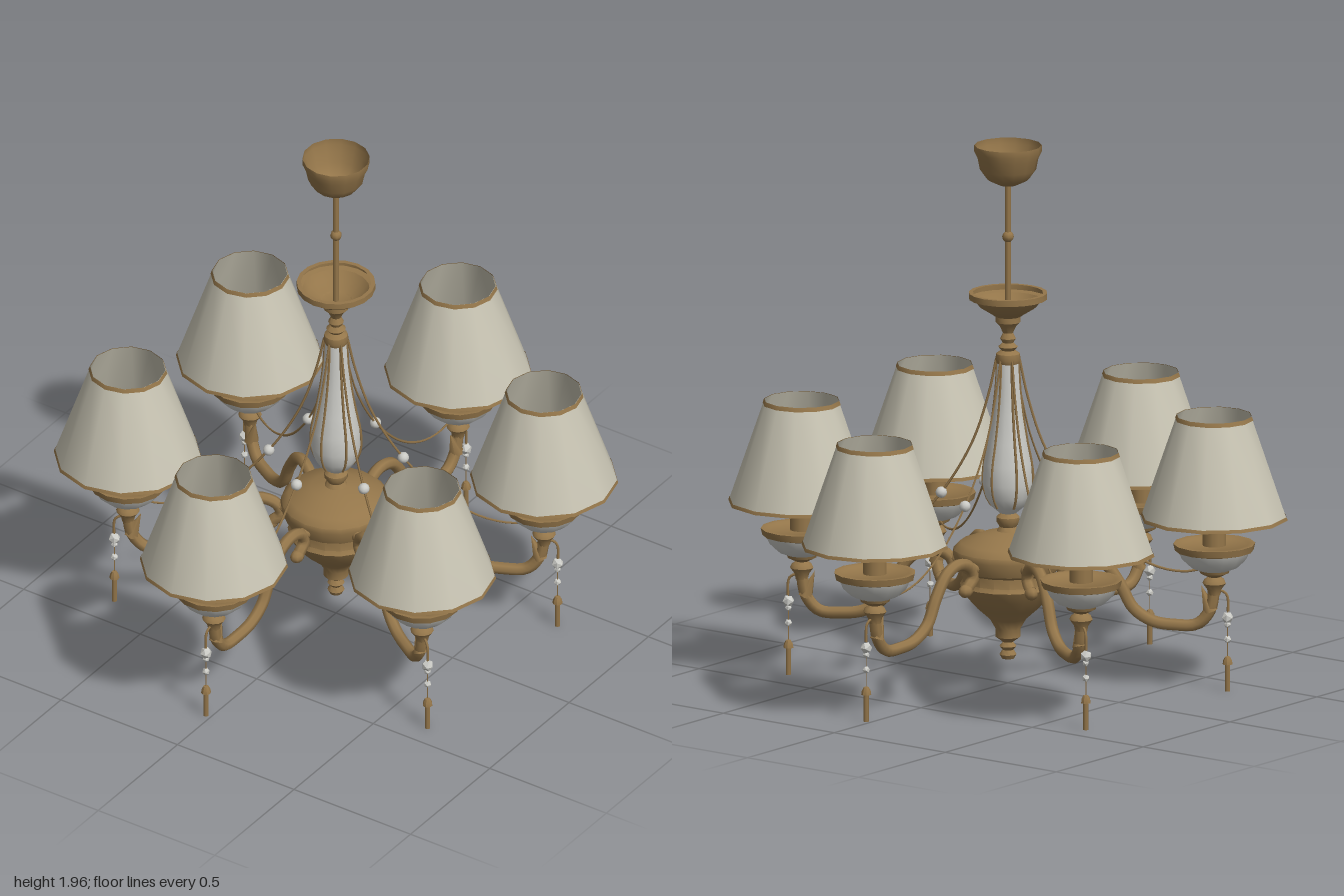
import * as THREE from 'three';
import { toCreasedNormals } from 'three/addons/utils/BufferGeometryUtils.js';

const material = (name, color) => {
  const m = new THREE.MeshStandardMaterial({ color, side: THREE.DoubleSide });
  m.name = name;
  return m;
};
const bronze = material('bronze', 0x94764a);
const fabric = material('shade fabric', 0xc8c4b3);
const porcelain = material('porcelain', 0xcbcbc6);

function add(group, name, geometry, mat, x = 0, y = 0, z = 0) {
  const mesh = new THREE.Mesh(geometry, mat);
  mesh.name = name;
  mesh.position.set(x, y, z);
  group.add(mesh);
  return mesh;
}

// Turned part from [radius, height] pairs, bottom to top
const turned = (profile, sides = 16) =>
  toCreasedNormals(new THREE.LatheGeometry(profile.map(([r, y]) => new THREE.Vector2(r, y)), sides), 0.65);

// Round bar along a curve in the x/y plane
function bar(points, radius, steps, sides) {
  const curve = new THREE.CatmullRomCurve3(points.map(([x, y]) => new THREE.Vector3(x, y, 0)));
  return new THREE.TubeGeometry(curve, steps, radius, sides);
}

const columnProfile = [[0.03, 0.62], [0.06, 0.645], [0.08, 0.68], [0.09, 0.73], [0.086, 0.8],
  [0.07, 0.88], [0.054, 0.98], [0.043, 1.08], [0.038, 1.18]];

function buildCentre(group) {
  add(group, 'lowerBody', turned([[0, 0.085], [0.022, 0.09], [0.03, 0.105], [0.02, 0.122], [0.03, 0.135],
    [0.018, 0.15], [0.045, 0.17], [0.045, 0.2], [0.065, 0.235], [0.11, 0.275], [0.15, 0.32], [0.172, 0.36],
    [0.162, 0.375], [0.162, 0.41], [0.18, 0.42], [0.198, 0.47], [0.195, 0.49], [0.17, 0.515], [0.09, 0.545],
    [0.04, 0.555], [0.03, 0.57], [0.042, 0.59], [0.042, 0.605], [0.025, 0.62], [0.04, 0.632]], 18), bronze);
  add(group, 'column', turned(columnProfile, 14), porcelain);
  // Raised ribs along the column
  for (let i = 0; i < 6; i++) {
    const rib = add(group, 'columnRib', bar(columnProfile.slice(1), 0.005, 18, 4), bronze);
    rib.rotation.y = (i + 0.5) * Math.PI / 3 - 0.03;
  }
  add(group, 'columnCap', turned([[0.04, 1.165], [0.045, 1.18], [0.042, 1.2], [0.025, 1.212], [0.035, 1.225],
    [0.02, 1.24], [0.028, 1.255], [0.018, 1.275], [0.03, 1.3], [0.045, 1.315], [0.045, 1.335], [0.06, 1.345]], 14), bronze);
  add(group, 'upperDish', turned([[0, 1.34], [0.055, 1.342], [0.1, 1.37], [0.12, 1.395], [0.14, 1.4], [0.14, 1.422],
    [0.125, 1.422]], 18), bronze);
  add(group, 'hangingRod', new THREE.CylinderGeometry(0.011, 0.011, 0.48, 8), bronze, 0, 1.585, 0);
  add(group, 'rodBead', new THREE.SphereGeometry(0.021, 8, 6), bronze, 0, 1.625, 0);
  add(group, 'ceilingCanopy', turned([[0, 1.812], [0.03, 1.813], [0.075, 1.835], [0.1, 1.87], [0.108, 1.91],
    [0.12, 1.935], [0.12, 1.958]], 14), bronze);
}

const reach = 0.742;

function buildLamp(lamp) {
  add(lamp, 'cupStem', turned([[0.022, 0.35], [0.026, 0.37], [0.042, 0.392], [0.036, 0.405], [0.022, 0.415],
    [0.052, 0.43], [0.058, 0.445]], 12), bronze);
  add(lamp, 'cupBowl', turned([[0.05, 0.438], [0.085, 0.452], [0.115, 0.48], [0.128, 0.51]], 14), porcelain);
  add(lamp, 'cupRim', turned([[0.126, 0.508], [0.14, 0.512], [0.146, 0.537], [0.125, 0.537], [0.115, 0.53], [0, 0.53]], 14), bronze);
  add(lamp, 'candle', new THREE.CylinderGeometry(0.042, 0.042, 0.2, 12), bronze, 0, 0.63, 0);
  const bulb = add(lamp, 'bulb', new THREE.SphereGeometry(0.045, 12, 8), porcelain, 0, 0.78, 0);
  bulb.scale.y = 1.5;

  // Conical shade with a thin band at each edge
  const radiusAt = y => 0.262 - (y - 0.63) * 0.345;
  const cone = (y0, y1, grow) => turned([[radiusAt(y0) + grow, y0], [radiusAt(y1) + grow, y1]], 12);
  add(lamp, 'shade', cone(0.63, 1.002, 0), fabric);
  for (const [y0, y1] of [[0.629, 0.641], [0.988, 1.003]]) {
    add(lamp, 'shadeBand', cone(y0, y1, 0.002), bronze);
  }
}

function buildDrop(drop) {
  add(drop, 'hook', bar([[-0.04, 0.37], [-0.01, 0.36], [0, 0.345], [0.002, 0.29]], 0.005, 8, 5), bronze);
  add(drop, 'thread', new THREE.CylinderGeometry(0.002, 0.002, 0.18, 4), bronze, 0, 0.2, 0);
  for (const [y, r] of [[0.268, 0.022], [0.243, 0.013], [0.188, 0.014]]) {
    add(drop, 'crystal', new THREE.IcosahedronGeometry(r, 0), porcelain, 0, y, 0);
  }
  add(drop, 'bell', turned([[0.018, 0.098], [0.016, 0.112], [0.009, 0.125], [0, 0.128]], 8), bronze);
  add(drop, 'tassel', new THREE.CylinderGeometry(0.01, 0.01, 0.104, 6, 1, true), bronze, 0, 0.052, 0);
}

function buildArm(arm) {
  // S-shaped arm ending in a curl beside the body
  add(arm, 'scrollArm', bar([[0.742, 0.37], [0.725, 0.29], [0.68, 0.24], [0.6, 0.219 + 0.015], [0.52, 0.245], [0.45, 0.29],
    [0.4, 0.38], [0.34, 0.455], [0.27, 0.478], [0.21, 0.455], [0.195, 0.415], [0.225, 0.385]], 0.022, 40, 7), bronze);
  const curl = add(arm, 'curlLeaf', new THREE.SphereGeometry(0.03, 8, 6), bronze, 0.235, 0.375, 0);
  curl.scale.set(1, 0.8, 0.8);
  const leaf = add(arm, 'armLeaf', new THREE.ConeGeometry(0.028, 0.1, 6), bronze, 0.712, 0.335, 0);
  leaf.rotation.z = 0.35;
  add(arm, 'rosette', new THREE.SphereGeometry(0.024, 8, 6), bronze, 0.19, 0.45, 0);

  // Draped chain with a crystal bead
  add(arm, 'chain', bar([[0.042, 1.18], [0.07, 1.05], [0.13, 0.87], [0.24, 0.685], [0.39, 0.525], [0.52, 0.45],
    [0.63, 0.43], [0.71, 0.445]], 0.0045, 32, 4), bronze);
  add(arm, 'chainBead', new THREE.IcosahedronGeometry(0.021, 1), porcelain, 0.24, 0.685, 0);

  const lamp = new THREE.Group();
  lamp.name = 'lamp';
  lamp.position.x = reach;
  buildLamp(lamp);
  const drop = new THREE.Group();
  drop.name = 'drop';
  drop.position.x = 0.79;
  buildDrop(drop);
  arm.add(lamp, drop);
}

export function createModel() {
  const model = new THREE.Group();
  model.name = 'chandelier';
  const centre = new THREE.Group();
  centre.name = 'centre';
  buildCentre(centre);
  model.add(centre);

  // Six arms, turned slightly off the axes
  for (let i = 0; i < 6; i++) {
    const arm = new THREE.Group();
    arm.name = 'arm';
    arm.rotation.y = Math.PI / 2 - 0.026 + i * Math.PI / 3;
    buildArm(arm);
    model.add(arm);
  }
  return model;
}
